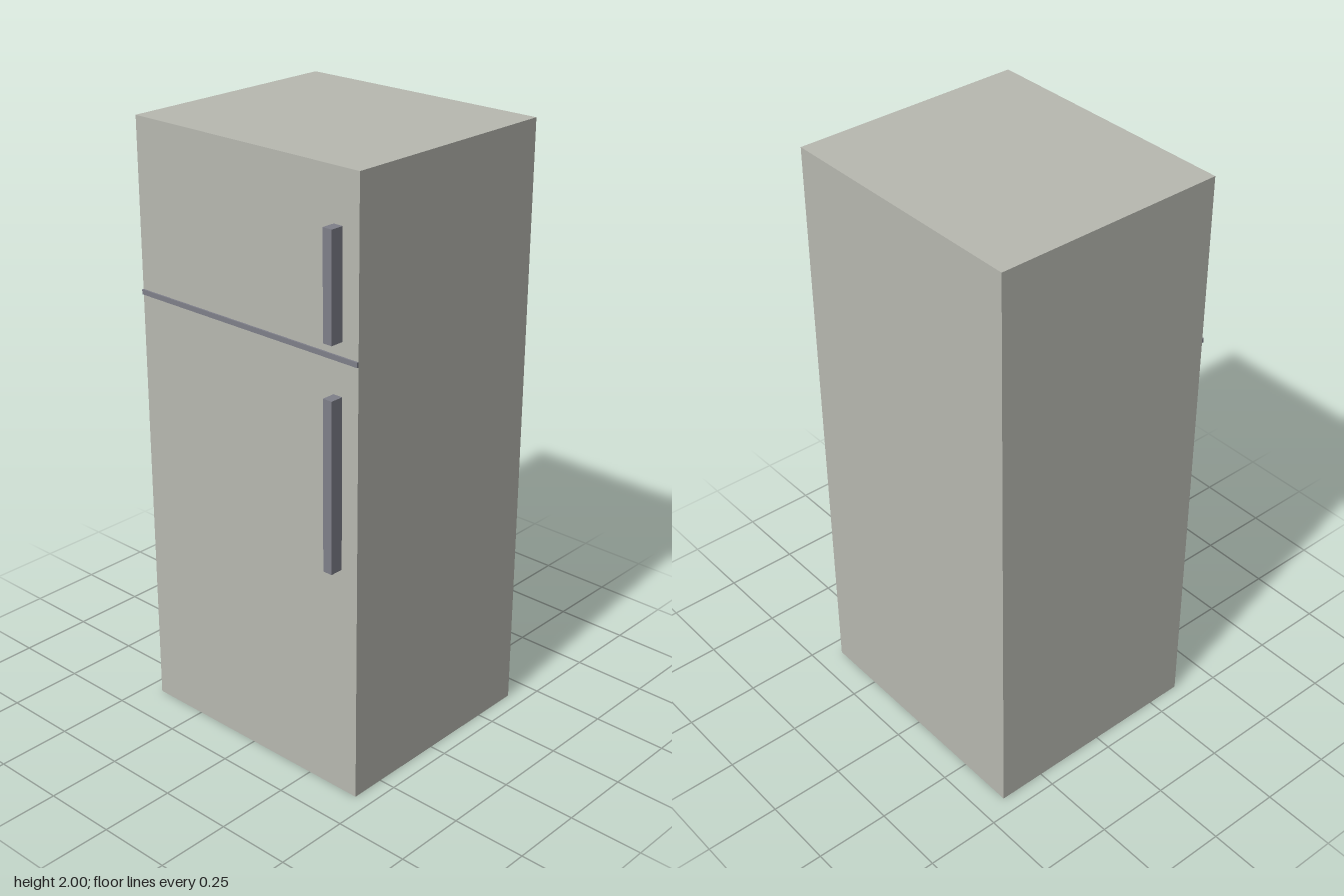
import * as THREE from 'three';

export function createModel() {
  const model = new THREE.Group();
  model.name = 'refrigerator';

  const enamel = new THREE.MeshStandardMaterial({ color: 0xb8b9b1 });
  enamel.name = 'warm grey enamel';
  const trim = new THREE.MeshStandardMaterial({ color: 0x7f808a });
  trim.name = 'dark grey trim';

  // Box given by its lower and upper corners
  function addBox(name, material, [x0, y0, z0], [x1, y1, z1]) {
    const mesh = new THREE.Mesh(new THREE.BoxGeometry(x1 - x0, y1 - y0, z1 - z0), material);
    mesh.position.set((x0 + x1) / 2, (y0 + y1) / 2, (z0 + z1) / 2);
    mesh.name = name;
    model.add(mesh);
  }

  const halfWidth = 0.444;
  const front = 0.367;
  const back = -0.411;

  // Cabinet
  addBox('cabinet', enamel, [-halfWidth, 0, back], [halfWidth, 2, front]);

  // Strip between the freezer door and the main door
  addBox('doorSeam', trim, [-halfWidth, 1.44, front], [halfWidth, 1.456, 0.373]);

  // Door handles
  for (const [name, bottom, top] of [['freezerHandle', 1.5, 1.836], ['mainHandle', 0.78, 1.333]]) {
    addBox(name, trim, [0.35, bottom, front], [0.383, top, 0.411]);
  }

  return model;
}
